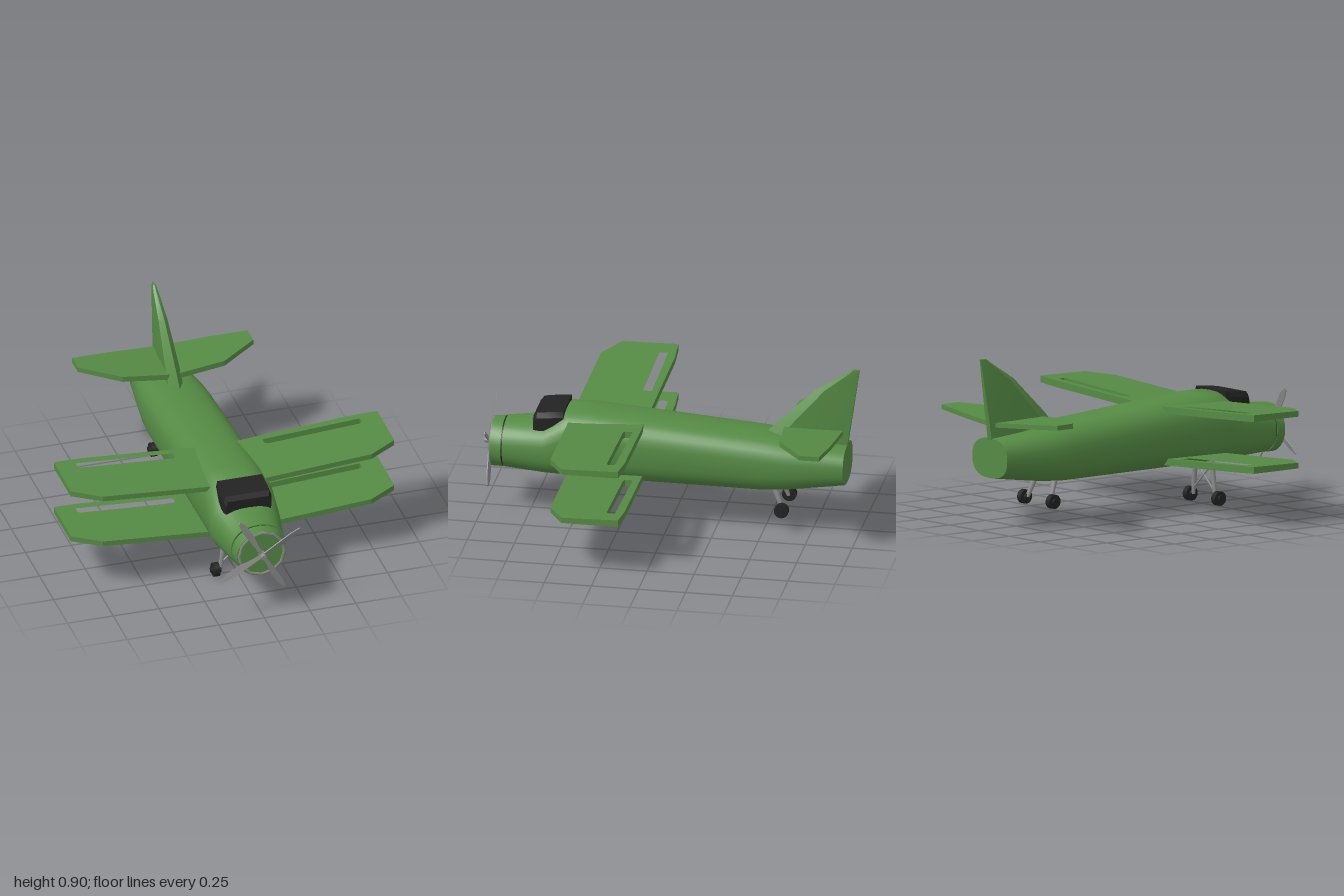
import * as THREE from 'three';
import { toCreasedNormals } from 'three/addons/utils/BufferGeometryUtils.js';

const V = (x, y, z) => new THREE.Vector3(x, y, z);

// Closed skin through a list of equal-length rings, capped at both ends
function loft(rings, crease = 0.6) {
  const pos = [];
  const tri = (...pts) => pts.forEach((p) => pos.push(p.x, p.y, p.z));
  const n = rings[0].length;
  for (let i = 0; i < rings.length - 1; i++) {
    for (let j = 0; j < n; j++) {
      const k = (j + 1) % n;
      const a = rings[i][j], b = rings[i][k], c = rings[i + 1][k], d = rings[i + 1][j];
      tri(a, d, b);
      tri(b, d, c);
    }
  }
  const first = rings[0], last = rings[rings.length - 1];
  for (let j = 1; j < n - 1; j++) {
    tri(first[0], first[j], first[j + 1]);
    tri(last[0], last[j + 1], last[j]);
  }
  const g = new THREE.BufferGeometry();
  g.setAttribute('position', new THREE.Float32BufferAttribute(pos, 3));
  return toCreasedNormals(g, crease);
}

// Rounded body section: half width w, from y0 to y1, squareness e
function bodyRing([z, w, y0, y1, e], n = 32) {
  const bend = (v) => Math.sign(v) * Math.abs(v) ** (2 / e);
  return Array.from({ length: n }, (_, i) => {
    const a = (i / n) * Math.PI * 2;
    return V(w * bend(Math.cos(a)), (y0 + y1) / 2 + ((y1 - y0) / 2) * bend(Math.sin(a)), z);
  });
}

// Flat panel from an [x, z] outline, raised by dihedral, thinner at its front
function panel(outline, slot, side, { y, rise, root, thin, thick, front, back }) {
  const pts = (list) => list.map(([x, z]) => new THREE.Vector2(side * x, -z));
  const shape = new THREE.Shape(pts(outline));
  if (slot) shape.holes.push(new THREE.Path(pts(slot)));
  const g = new THREE.ExtrudeGeometry(shape, { depth: 1, bevelEnabled: false });
  g.rotateX(-Math.PI / 2);
  const p = g.attributes.position;
  for (let i = 0; i < p.count; i++) {
    const t = (front - p.getZ(i)) / (front - back);
    p.setY(i, y + rise * (Math.abs(p.getX(i)) - root) + p.getY(i) * (thin + (thick - thin) * t));
  }
  g.computeVertexNormals();
  return g;
}

// Round bar between two points
function bar(a, b, r0, r1, sides = 8) {
  const dir = b.clone().sub(a);
  const g = new THREE.CylinderGeometry(r1, r0, dir.length(), sides);
  g.applyQuaternion(new THREE.Quaternion().setFromUnitVectors(V(0, 1, 0), dir.clone().normalize()));
  const mid = a.clone().add(b).multiplyScalar(0.5);
  return g.translate(mid.x, mid.y, mid.z);
}

export function createModel() {
  const model = new THREE.Group();
  const material = (name, color) => {
    const m = new THREE.MeshStandardMaterial({ color });
    m.name = name;
    return m;
  };
  const green = material('green paint', 0x558a44);
  const black = material('black', 0x222222);
  const grey = material('grey metal', 0x8c8c8c);
  const add = (name, geometry, mat, parent = model) => {
    const mesh = new THREE.Mesh(geometry, mat);
    mesh.name = name;
    parent.add(mesh);
    return mesh;
  };

  // Fuselage and nose cowling, with a narrow dark seam between them
  add('fuselage', loft([
    [0.882, 0.147, 0.238, 0.5, 2.2], [0.66, 0.187, 0.234, 0.52, 2.6],
    [0.545, 0.19, 0.23, 0.598, 2.8], [0.42, 0.19, 0.228, 0.6, 2.8],
    [0.1, 0.19, 0.225, 0.577, 2.8], [-0.5, 0.187, 0.222, 0.532, 2.7],
    [-0.62, 0.183, 0.23, 0.518, 2.6], [-0.93, 0.145, 0.272, 0.482, 2.5],
  ].map((s) => bodyRing(s))), green);
  add('cowlingSeam', loft([[0.892, 0.142, 0.241, 0.496, 2.1], [0.88, 0.142, 0.241, 0.496, 2.1]]
    .map((s) => bodyRing(s))), black);
  add('cowling', loft([[0.95, 0.135, 0.234, 0.494, 2], [0.89, 0.145, 0.236, 0.499, 2.1]]
    .map((s) => bodyRing(s))), green);
  add('noseRing', new THREE.TorusGeometry(0.124, 0.009, 4, 12).translate(0, 0.365, 0.949), grey);

  // Canopy
  const canopyRing = ([z, wide, narrow, y0, y1]) => [
    V(-wide, y0, z), V(wide, y0, z), V(wide, y1 - 0.03, z),
    V(narrow, y1, z), V(-narrow, y1, z), V(-wide, y1 - 0.03, z),
  ];
  add('canopy', loft([
    [0.72, 0.122, 0.112, 0.49, 0.565], [0.7, 0.13, 0.118, 0.49, 0.588],
    [0.62, 0.134, 0.122, 0.49, 0.598], [0.557, 0.128, 0.122, 0.49, 0.602],
  ].map(canopyRing), 0.2), black);

  // Two pairs of slotted wings and the tailplane
  const wing = [[0.1, 0.53], [0.735, 0.515], [0.885, 0.43], [0.885, 0.13], [0.73, 0.12], [0.1, 0.132]];
  const slot = [[0.245, 0.168], [0.245, 0.208], [0.26, 0.216], [0.765, 0.211], [0.777, 0.2], [0.777, 0.165]];
  const tail = [[0, -0.6], [0.05, -0.6], [0.28, -0.62], [0.48, -0.76], [0.48, -0.865], [0.28, -0.89], [0, -0.91]];
  for (const [side, label] of [[1, 'left'], [-1, 'right']]) {
    for (const [level, y] of [['Upper', 0.528], ['Lower', 0.254]]) {
      add(label + level + 'Wing', panel(wing, slot, side,
        { y, rise: 0.058, root: 0.14, thin: 0.028, thick: 0.036, front: 0.53, back: 0.12 }), green);
    }
    add(label + 'Tailplane', panel(tail, null, side,
      { y: 0.538, rise: 0.075, root: 0, thin: 0.03, thick: 0.024, front: -0.6, back: -0.91 }), green);
  }

  // Tail fin, from the tip down: height, front z, back z, half width
  add('tailFin', loft([
    [0.905, -0.955, -0.996, 0.008], [0.88, -0.92, -0.991, 0.013],
    [0.785, -0.77, -0.977, 0.024], [0.6, -0.575, -0.949, 0.037], [0.46, -0.44, -0.928, 0.042],
  ].map(([y, f, b, w]) => {
    const at = (t) => f + (b - f) * t;
    return [V(0, y, f), V(w, y, at(0.2)), V(w * 0.8, y, at(0.65)), V(w * 0.4, y, b),
      V(-w * 0.4, y, b), V(-w * 0.8, y, at(0.65)), V(-w, y, at(0.2))];
  }), 0.3), green);

  // Four-bladed propeller
  const propeller = new THREE.Group();
  propeller.name = 'propeller';
  propeller.position.set(0, 0.365, 0.97);
  model.add(propeller);
  add('hub', new THREE.CylinderGeometry(0.014, 0.018, 0.05, 12).rotateX(Math.PI / 2).translate(0, 0, 0.004), grey, propeller);
  const bladeShape = new THREE.Shape([[0, -0.009], [0.06, -0.011], [0.13, -0.021], [0.21, -0.018], [0.247, -0.004],
    [0.24, 0.009], [0.19, 0.016], [0.1, 0.013], [0, 0.009]].map(([x, y]) => new THREE.Vector2(x, y)));
  for (let i = 0; i < 4; i++) {
    const g = new THREE.ExtrudeGeometry(bladeShape, { depth: 0.006, bevelEnabled: false });
    g.translate(0, 0, -0.003).rotateX(0.35).rotateY(0.04).rotateZ(Math.PI / 6 + (i * Math.PI) / 2);
    add('blade', g, grey, propeller);
  }

  // Wheels with hubs, struts and cross braces
  for (const s of [1, -1]) {
    for (const [place, y, z] of [['main', 0.039, 0.515], ['rear', 0.13, -0.6]]) {
      const turn = (r, w) => new THREE.CylinderGeometry(r, r, w, 16).rotateZ(Math.PI / 2).translate(s * 0.118, y, z);
      add(place + 'Wheel', turn(0.038, 0.032), black);
      add(place + 'WheelHub', turn(0.018, 0.054), black);
    }
    add('mainStrut', bar(V(s * 0.092, 0.04, 0.515), V(s * 0.065, 0.25, 0.508), 0.011, 0.016), grey);
    add('rearStrut', bar(V(s * 0.095, 0.13, -0.6), V(s * 0.075, 0.26, -0.55), 0.011, 0.018), grey);
    add('crossBrace', bar(V(s * 0.085, 0.075, 0.512), V(s * -0.068, 0.215, 0.512), 0.005, 0.005, 6), grey);
  }
  return model;
}
